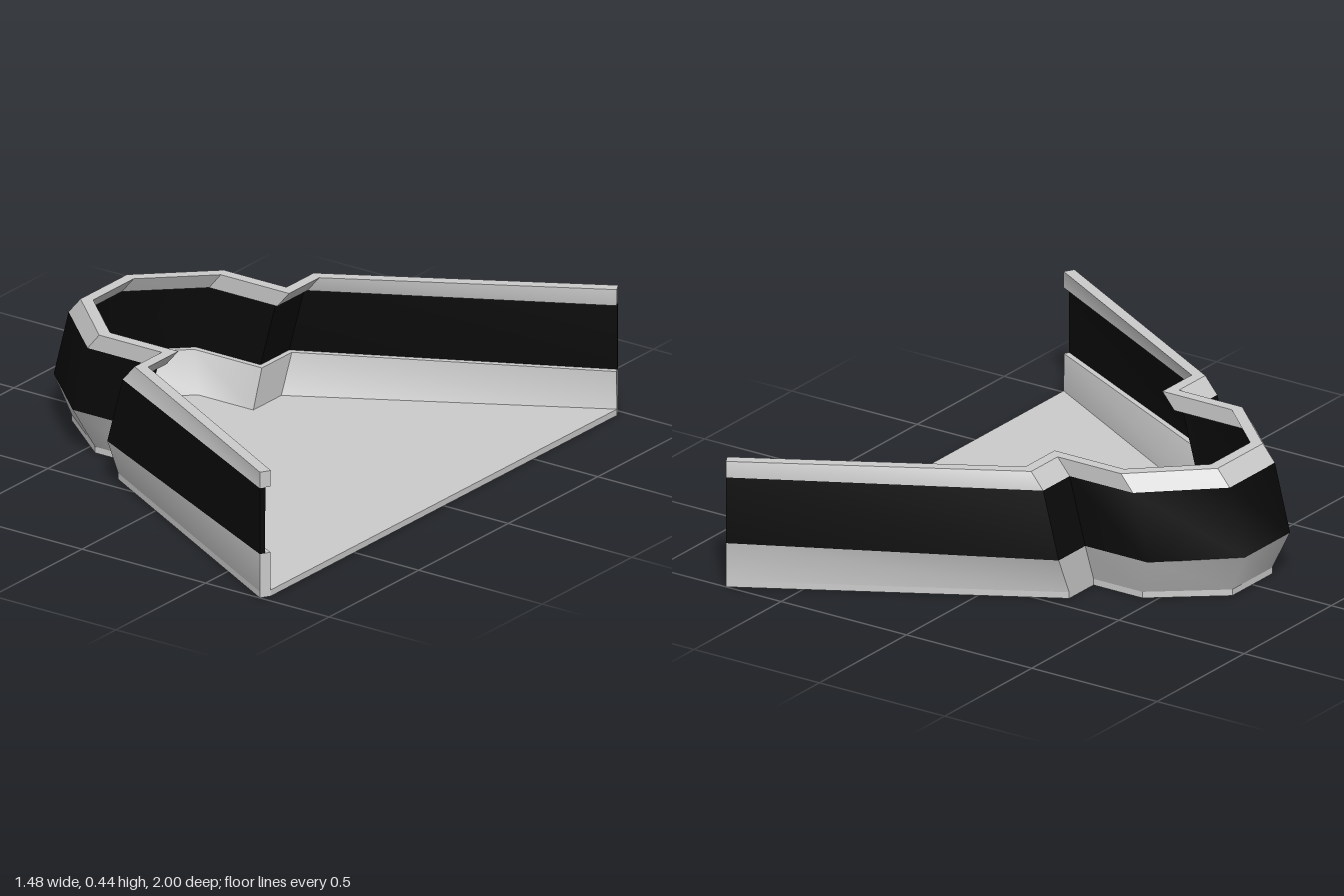
import * as THREE from 'three';
import { toCreasedNormals } from 'three/addons/utils/BufferGeometryUtils.js';

const THICKNESS = 0.039;

// Half outline [x, z] from the open back end to the nose, at each height
const LEVELS = {
  floor: { y: 0.022, half: [[0.72, 1], [-0.26, 0.44], [-0.26, 0.3], [-0.455, 0.3], [-0.685, 0.115]] },
  sill: { y: 0.155, half: [[0.72, 1], [-0.26, 0.5], [-0.26, 0.348], [-0.51, 0.348], [-0.745, 0.13]] },
  head: { y: 0.388, half: [[0.72, 1], [-0.198, 0.5], [-0.198, 0.348], [-0.45, 0.348], [-0.685, 0.13]] },
  top: { y: 0.445, half: [[0.72, 1], [-0.15, 0.5], [-0.15, 0.348], [-0.403, 0.348], [-0.637, 0.13]] },
};

// Full outline, mirrored across z
const outline = ({ half }) => [...half, ...half.map(([x, z]) => [x, -z]).reverse()];

// Moves an open outline inward by d with mitred corners
function inset(points, d) {
  const normals = points.slice(1).map(([x, z], i) => {
    const dx = x - points[i][0], dz = z - points[i][1], l = Math.hypot(dx, dz);
    return [-dz / l, dx / l];
  });
  return points.map(([x, z], i) => {
    const a = normals[Math.max(i - 1, 0)], b = normals[Math.min(i, normals.length - 1)];
    const k = d / (1 + a[0] * b[0] + a[1] * b[1]);
    return [x + (a[0] + b[0]) * k, z + (a[1] + b[1]) * k];
  });
}

// Closed wall strip between two levels
function wall(name, low, high, thickness, crease, material) {
  const lo = outline(low), hi = outline(high);
  const corners = [
    [lo, low.y], [hi, high.y],
    [inset(hi, thickness), high.y], [inset(lo, thickness), low.y],
  ];
  const n = lo.length;
  const positions = [], index = [];
  for (let i = 0; i < n; i++) {
    for (const [ring, y] of corners) positions.push(ring[i][0], y, ring[i][1]);
  }
  const quad = (a, b, c, d) => index.push(a, b, c, a, c, d);
  for (let i = 0; i < n - 1; i++) {
    for (let k = 0; k < 4; k++) {
      const m = (k + 1) % 4;
      quad(i * 4 + k, i * 4 + m, i * 4 + 4 + m, i * 4 + 4 + k);
    }
  }
  // End caps at the open back
  quad(0, 3, 2, 1);
  const e = (n - 1) * 4;
  quad(e, e + 1, e + 2, e + 3);

  const geometry = new THREE.BufferGeometry();
  geometry.setAttribute('position', new THREE.Float32BufferAttribute(positions, 3));
  geometry.setIndex(index);
  const mesh = new THREE.Mesh(toCreasedNormals(geometry, THREE.MathUtils.degToRad(crease)), material);
  mesh.name = name;
  return mesh;
}

// Flat slab under the walls, closed straight across the open end
function floorSlab(material) {
  const ring = outline(LEVELS.floor);
  const inner = inset(ring, THICKNESS);
  const points = [inner[0], ...ring, inner[inner.length - 1]];
  const shape = new THREE.Shape(points.map(([x, z]) => new THREE.Vector2(x, z)));
  const geometry = new THREE.ExtrudeGeometry(shape, { depth: LEVELS.floor.y, bevelEnabled: false });
  geometry.rotateX(Math.PI / 2).translate(0, LEVELS.floor.y, 0);
  const mesh = new THREE.Mesh(geometry, material);
  mesh.name = 'floor';
  return mesh;
}

export function createModel() {
  const grey = new THREE.MeshStandardMaterial({ color: 0xcccccc });
  const black = new THREE.MeshStandardMaterial({ color: 0x0a0a0a });
  const { floor, sill, head, top } = LEVELS;

  const model = new THREE.Group();
  model.name = 'cabin';
  model.add(
    floorSlab(grey),
    wall('lowerWall', floor, sill, THICKNESS, 50, grey),
    wall('windowBand', sill, head, THICKNESS / 2, 50, black),
    wall('upperFrame', head, top, THICKNESS, 30, grey),
  );
  return model;
}
